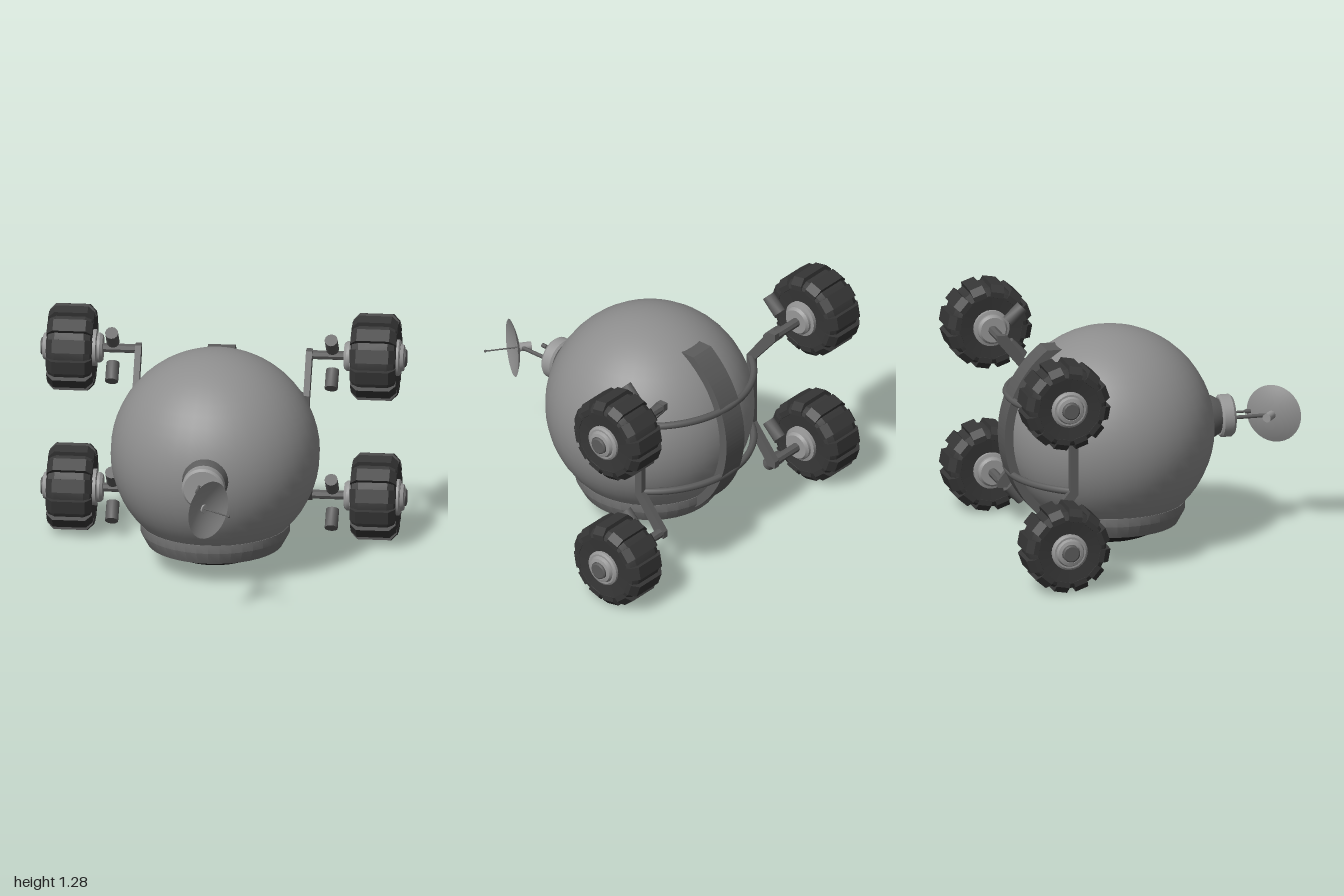
import * as THREE from 'three';
import { toCreasedNormals } from 'three/addons/utils/BufferGeometryUtils.js';

const CY = 0.643, CZ = -0.18; // centre of the round hull

function material(name, color, side = THREE.FrontSide) {
  const m = new THREE.MeshStandardMaterial({ color, side });
  m.name = name;
  return m;
}

function add(parent, name, geometry, mat, x = 0, y = 0, z = 0) {
  const mesh = new THREE.Mesh(geometry, mat);
  mesh.name = name;
  mesh.position.set(x, y, z);
  parent.add(mesh);
  return mesh;
}

// Lathe from [radius, height] pairs, listed from bottom to top
function lathe(points, segments = 32, crease = 0.5) {
  const g = new THREE.LatheGeometry(points.map(([r, h]) => new THREE.Vector2(r, h)), segments);
  return toCreasedNormals(g, crease);
}

// Extrude a side profile (u = backwards, v = up), centred across x
function sideExtrude(shape, width) {
  const g = new THREE.ExtrudeGeometry(shape, { depth: width, bevelEnabled: false, curveSegments: 24 });
  return g.translate(0, 0, -width / 2).rotateY(Math.PI / 2);
}

function polygon(points) {
  return new THREE.Shape(points.map(([x, y]) => new THREE.Vector2(x, y)));
}

export function createModel() {
  const model = new THREE.Group();
  model.name = 'sphericalRover';
  const hullGrey = material('hull grey', 0x8e8e8e);
  const skirtGrey = material('skirt grey', 0x747474);
  const frameGrey = material('frame grey', 0x5c5c5c);
  const rubber = material('tyre rubber', 0x363636);
  const shieldDark = material('shield dark', 0x242424);
  const metal = material('light metal', 0x989898);
  const dishGrey = material('dish grey', 0x8e8e8e, THREE.DoubleSide);

  // Hull, flared skirt and dark belly shield
  add(model, 'hull', new THREE.SphereGeometry(0.57, 40, 28), hullGrey, 0, CY, CZ);
  add(model, 'skirt', lathe([[0.32, 0.125], [0.37, 0.125], [0.408, 0.195], [0.408, 0.242], [0.38, 0.245]], 40), skirtGrey, 0, 0, CZ);
  const belly = [];
  for (let i = 0; i <= 8; i++) {
    const a = (i / 8) * 0.63;
    belly.push([0.57 * Math.sin(a), 0.59 - 0.57 * Math.cos(a)]);
  }
  add(model, 'bellyShield', lathe(belly, 40, 1), shieldDark, 0, 0, CZ);

  // Curved spine band on the back, cut level at both ends
  const spine = new THREE.Shape();
  const outer = Math.asin(0.485 / 0.612), inner = Math.asin(0.485 / 0.56);
  spine.absarc(0, 0, 0.612, -outer, outer, false);
  spine.absarc(0, 0, 0.56, inner, -inner, true);
  add(model, 'spineBand', sideExtrude(spine, 0.15), frameGrey, 0, CY, CZ);

  // Two hoops round the back joining the side frames
  class Arc extends THREE.Curve {
    getPoint(t, target = new THREE.Vector3()) {
      const a = (t - 0.5) * 1.92;
      return target.set(0.565 * Math.sin(a), 0, -0.565 * Math.cos(a));
    }
  }
  for (const s of [-1, 1]) {
    add(model, 'backHoop', new THREE.TubeGeometry(new Arc(), 32, 0.02, 8), frameGrey, 0, CY + s * 0.21, CZ);
  }

  // Wheel geometries, turned to lie along x
  const turn = g => g.rotateZ(-Math.PI / 2);
  const tyreGeo = turn(lathe([[0.08, -0.1], [0.1, -0.115], [0.18, -0.124], [0.2, -0.115],
    [0.217, -0.08], [0.217, 0.08], [0.2, 0.115], [0.18, 0.124], [0.1, 0.115], [0.08, 0.1]], 36, 0.4));
  const lugGeo = new THREE.ExtrudeGeometry(
    polygon([[-0.1, 0.16], [0.1, 0.16], [0.125, 0.17], [0.125, 0.2], [0.09, 0.236], [-0.09, 0.236], [-0.125, 0.2], [-0.125, 0.17]]),
    { depth: 0.074, bevelEnabled: false }).translate(0, 0, -0.037);
  const hubGeo = turn(lathe([[0, -0.17], [0.07, -0.17], [0.082, -0.155], [0.082, -0.14], [0.1, -0.135], [0.1, -0.1],
    [0.1, 0.1], [0.1, 0.13], [0.088, 0.138], [0.078, 0.138], [0.07, 0.155], [0.052, 0.16], [0.052, 0.13], [0, 0.13]], 24));
  const capGeo = turn(lathe([[0.048, 0.12], [0.048, 0.165], [0.04, 0.17], [0, 0.17]], 20));
  const axleGeo = turn(toCreasedNormals(new THREE.CylinderGeometry(0.026, 0.026, 0.23, 8), 0.5));
  const damperGeo = toCreasedNormals(new THREE.CylinderGeometry(0.036, 0.036, 0.112, 12), 0.6);

  // Side frame profile: upright with swept-back ends
  const half = [[0.487, 0.225], [0.64, 0.43], [0.69, 0.43], [0.69, 0.39], [0.532, 0.2]];
  const frameShape = polygon([...half.map(([u, v]) => [u, -v]), ...half.slice().reverse()]);

  for (const side of [1, -1]) {
    const half = new THREE.Group();
    half.name = side > 0 ? 'leftRunningGear' : 'rightRunningGear';
    half.scale.x = side;
    model.add(half);
    add(half, 'sideFrame', sideExtrude(frameShape, 0.034), frameGrey, 0.467, CY, 0);
    for (const up of [1, -1]) {
      const y = CY + up * 0.403, z = -0.66;
      add(half, 'axle', axleGeo, frameGrey, 0.57, y, z - 0.004);
      for (const s of [1, -1]) {
        add(half, 'damper', damperGeo, frameGrey, 0.6, y + s * 0.1, -0.555).rotation.x = s * Math.PI / 4;
      }
      const wheel = new THREE.Group();
      wheel.name = 'wheel';
      wheel.position.set(0.83, y, z);
      half.add(wheel);
      add(wheel, 'tyre', tyreGeo, rubber);
      add(wheel, 'hub', hubGeo, metal);
      add(wheel, 'hubCap', capGeo, frameGrey);
      for (let i = 0; i < 12; i++) {
        add(wheel, 'treadLug', lugGeo, rubber).rotation.x = (i + 0.35) * Math.PI / 6;
      }
    }
  }

  // Antenna mount on the nose, with two thin rods
  const along = g => g.rotateX(Math.PI / 2); // lathe height becomes z
  add(model, 'mountCone', along(lathe([[0.13, 0.34], [0.128, 0.37], [0.092, 0.435]])), frameGrey, 0, 0.665, 0);
  add(model, 'mountDisc', along(lathe([[0, 0.43], [0.105, 0.43], [0.117, 0.44], [0.117, 0.492], [0.105, 0.506], [0, 0.506]])), metal, 0, 0.665, 0);
  add(model, 'dishArm', along(new THREE.CylinderGeometry(0.011, 0.011, 0.23, 10)), frameGrey, 0.02, 0.643, 0.615);
  add(model, 'sensorRod', along(new THREE.CylinderGeometry(0.007, 0.007, 0.1, 8)), frameGrey, -0.02, 0.685, 0.55);
  add(model, 'sensorTip', along(new THREE.CylinderGeometry(0.012, 0.012, 0.03, 8)), frameGrey, -0.02, 0.685, 0.59);

  // Dish turned towards the model's left, with feed rod and rear pivot
  const dish = new THREE.Group();
  dish.name = 'dishAssembly';
  dish.position.set(0.055, 0.64, 0.757);
  dish.rotation.y = Math.atan2(0.8, 0.6);
  model.add(dish);
  const bowl = [];
  for (let i = 0; i <= 8; i++) {
    const r = 0.16 * i / 8;
    bowl.push(new THREE.Vector2(r, -0.035 + 0.035 * (i / 8) ** 2));
  }
  add(dish, 'dishBowl', along(new THREE.LatheGeometry(bowl, 32)), dishGrey);
  add(dish, 'feedRod', along(new THREE.CylinderGeometry(0.004, 0.004, 0.18, 8)), frameGrey, 0, 0, 0.06);
  add(dish, 'feedTip', new THREE.SphereGeometry(0.008, 10, 8), frameGrey, 0, 0, 0.15);
  add(dish, 'dishPivot', along(new THREE.CylinderGeometry(0.024, 0.024, 0.08, 14)), metal, 0, 0, -0.065);
  return model;
}
